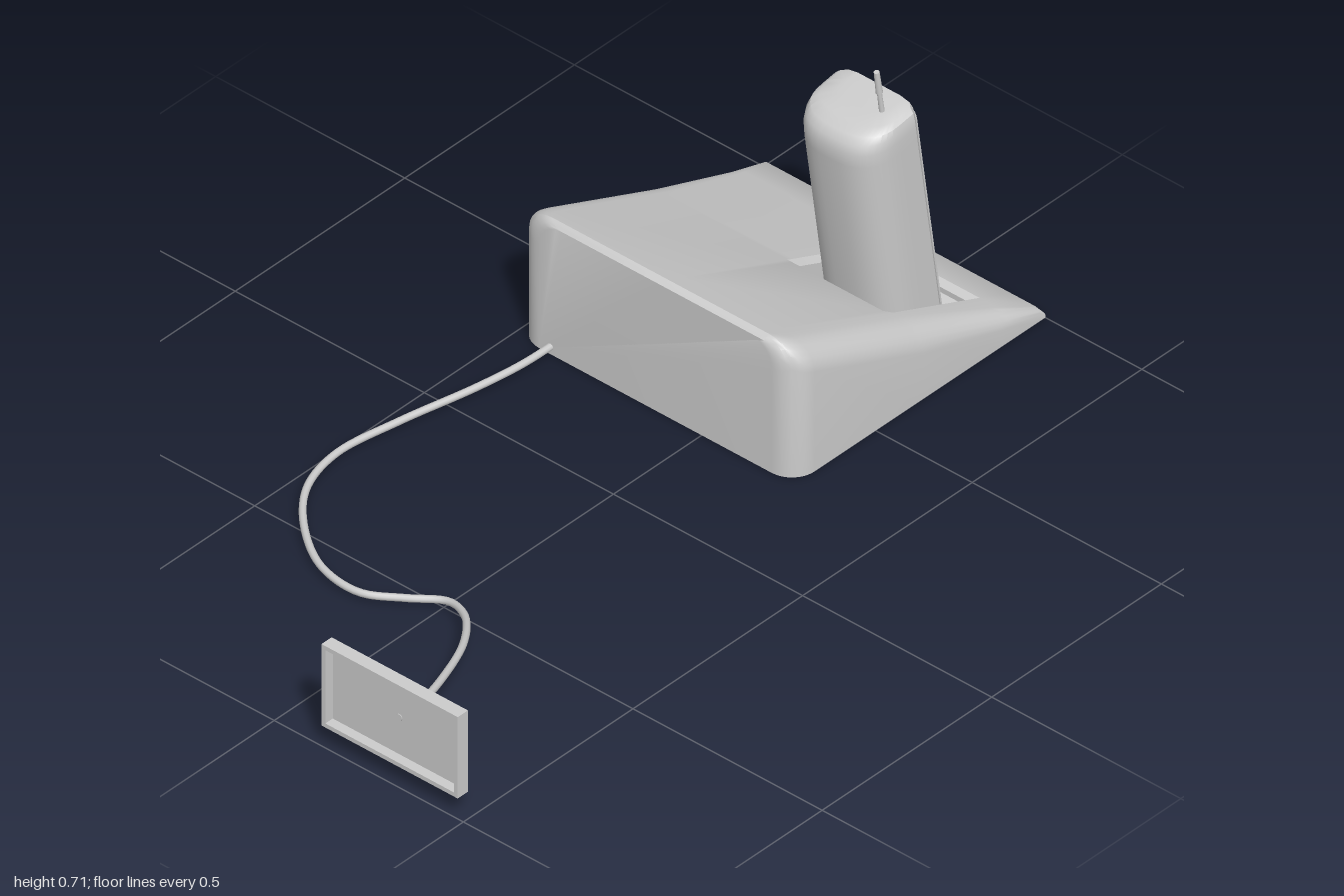
import * as THREE from 'three';
import { toCreasedNormals } from 'three/addons/utils/BufferGeometryUtils.js';

const grey = new THREE.MeshStandardMaterial({ color: 0xcccccc });

function add(parent, name, geometry, x = 0, y = 0, z = 0) {
  const mesh = new THREE.Mesh(geometry, grey);
  mesh.name = name;
  mesh.position.set(x, y, z);
  parent.add(mesh);
  return mesh;
}

// Closed skin through equal-length rings of [x, y, z], with fan caps
function loft(rings, crease = 0.6) {
  const n = rings[0].length, last = (rings.length - 1) * n, index = [];
  for (let i = 0; i < rings.length - 1; i++) {
    for (let j = 0; j < n; j++) {
      const k = (j + 1) % n, a = i * n + j, d = i * n + k, b = a + n, c = d + n;
      index.push(a, d, c, a, c, b);
    }
  }
  for (let j = 1; j < n - 1; j++) {
    index.push(0, j + 1, j, last, last + j, last + j + 1);
  }
  const g = new THREE.BufferGeometry();
  g.setAttribute('position', new THREE.Float32BufferAttribute(rings.flat(2), 3));
  g.setIndex(index);
  return toCreasedNormals(g, crease);
}

// Rounded rectangle centred on (cx, cy), radii: top left, top right, bottom right, bottom left
function roundRect(w, h, [tl, tr, br, bl], cx = 0, cy = 0, arch = 0, Type = THREE.Shape) {
  const l = cx - w / 2, r = cx + w / 2, b = cy - h / 2, t = cy + h / 2;
  const s = new Type();
  s.moveTo(l + bl, b);
  s.lineTo(r - br, b);
  s.quadraticCurveTo(r, b, r, b + br);
  s.lineTo(r, t - tr);
  s.quadraticCurveTo(r, t, r - tr, t);
  s.quadraticCurveTo(cx, t + arch * 2, l + tl, t);
  s.quadraticCurveTo(l, t, l, t - tl);
  s.lineTo(l, b + bl);
  s.quadraticCurveTo(l, b, l + bl, b);
  return s;
}

// Wedge-shaped charging base with a bevelled pocket
function baseGeometry() {
  const R = 0.06, Z0 = -0.49, Z1 = 0.245;
  const top = (x) => x > 0.985 ? 0.03 - (x - 0.985) * 1.3
    : Math.min(0.323 - (x - 0.275) * 0.413, 0.315 + (x - 0.26) * 0.55);
  const floor = (x) => 0.043 - (0.829 - x) * 0.147;
  // [x, depth level]: 0 = top surface, 1 = bevel, 2 = pocket floor
  const stations = [];
  for (let i = 0; i <= 8; i++) stations.push([0.26 + R * (1 - Math.cos(i * Math.PI / 16)), 0]);
  stations.push([0.275, 0]);
  stations.sort((a, b) => a[0] - b[0]);
  stations.push([0.625, 0], [0.64, 1], [0.64, 2], [0.875, 2], [0.875, 1], [0.895, 0], [0.985, 0], [1, 0]);
  return loft(stations.map(([x, level]) => {
    const h = top(x), r = Math.min(R, h * 0.5), t = Math.min(x - 0.26, R);
    const inset = R - Math.sqrt(R * R - (R - t) ** 2);
    const a = Z0 + inset, b = Z1 - inset;
    const bevel = level > 0 ? h - 0.013 : h;
    const deep = level > 1 ? floor(x) : bevel;
    const arc = [];
    for (let i = 0; i <= 6; i++) {
      const q = i * Math.PI / 12;
      arc.push([r * (1 - Math.cos(q)), h - r + r * Math.sin(q)]);
    }
    return [
      [x, 0, a], ...arc.map(([d, y]) => [x, y, a + d]),
      [x, h, -0.1], [x, bevel, -0.088], [x, deep, -0.088],
      [x, deep, 0.152], [x, bevel, 0.152], [x, h, 0.165],
      ...arc.reverse().map(([d, y]) => [x, y, b - d]), [x, 0, b],
    ];
  }));
}

// Handset shell: chamfered front, bulging back, domed top
function handsetGeometry() {
  const half = [[-0.006, 0.094], [-0.022, 0.108]];
  for (let i = 0; i <= 10; i++) {
    const q = i * Math.PI / 20;
    half.push([-0.07 - 0.096 * Math.sin(q) ** 0.8, 0.108 * Math.max(0, Math.cos(q)) ** 0.75]);
  }
  const ring = [
    ...half.slice(0, -1).map(([x, z]) => [x, -z]),
    ...half.slice().reverse(),
  ];
  // [height, depth scale, width scale]
  const levels = [[0, 1, 1], [0.5, 1, 1], [0.53, 0.985, 1], [0.55, 0.93, 0.985],
    [0.563, 0.84, 0.95], [0.571, 0.68, 0.86], [0.575, 0.45, 0.6]];
  return loft(levels.map(([y, sx, sz]) => ring.map(([x, z]) => [x * sx, y, z * sz])), 0.55);
}

function createHandset() {
  const phone = new THREE.Group();
  phone.name = 'handset';
  add(phone, 'handsetShell', handsetGeometry());

  // Front details, drawn in a plane facing +x
  const face = new THREE.Group();
  face.name = 'handsetFace';
  face.rotation.y = Math.PI / 2;
  phone.add(face);

  const plate = roundRect(0.184, 0.558, [0.03, 0.03, 0, 0], 0, 0.279, 0.006);
  plate.holes.push(roundRect(0.135, 0.12, [0.025, 0.025, 0.002, 0.002], 0, 0.472, 0.004, THREE.Path));
  add(face, 'facePlate', new THREE.ExtrudeGeometry(plate, { depth: 0.007, bevelEnabled: false, curveSegments: 8 }), 0, 0, -0.007);

  const key = (name, w, h, radii, x, y) => add(face, name, new THREE.ExtrudeGeometry(
    roundRect(w - 0.004, h - 0.004, radii, 0, 0), {
      depth: 0.005, bevelThickness: 0.003, bevelSize: 0.002, bevelSegments: 2, curveSegments: 5,
    }), x, y, 0);

  // Function buttons: pill ends outside, square in the middle
  const s = 0.003, p = 0.015;
  key('leftFunctionButton', 0.048, 0.037, [p, s, s, p], -0.053, 0.332);
  key('middleFunctionButton', 0.037, 0.037, [s, s, s, s], 0, 0.332);
  key('rightFunctionButton', 0.048, 0.037, [s, p, p, s], 0.053, 0.332);

  // Number keys, rounded at the outer corners of the pad
  for (let row = 0; row < 4; row++) {
    for (let col = 0; col < 3; col++) {
      const r = (rr, cc) => (row === rr && col === cc ? p : s);
      key('numberKey', 0.049, 0.047, [r(3, 0), r(3, 2), r(0, 2), r(0, 0)],
        (col - 1) * 0.053, 0.053 + row * 0.052);
    }
  }

  // Stub antenna
  add(phone, 'antennaStem', new THREE.CylinderGeometry(0.005, 0.006, 0.07, 12), -0.057, 0.595, 0.055);
  add(phone, 'antennaTip', new THREE.CylinderGeometry(0.006, 0.0075, 0.055, 12), -0.057, 0.652, 0.055);

  phone.position.set(0.829, 0.045, 0.037);
  phone.rotation.z = 0.147;
  return phone;
}

// Wall plate: thin front with a rim, open at the back
function createWallPlate() {
  const group = new THREE.Group();
  group.name = 'wallPlate';
  group.position.set(-0.985, 0.15, 0.305);
  add(group, 'plateFront', new THREE.BoxGeometry(0.008, 0.2, 0.36), 0.011);
  for (const side of [-1, 1]) {
    add(group, 'plateRim', new THREE.BoxGeometry(0.03, 0.01, 0.36), 0, side * 0.095, 0);
    add(group, 'plateRim', new THREE.BoxGeometry(0.03, 0.18, 0.01), 0, 0, side * 0.175);
  }
  return group;
}

export function createModel() {
  const model = new THREE.Group();
  model.name = 'cordlessPhone';
  add(model, 'chargingBase', baseGeometry());
  model.add(createHandset(), createWallPlate());

  // Cable from the wall plate to the base
  const path = new THREE.CatmullRomCurve3([
    [-0.982, 0.152, 0.312], [-0.9, 0.137, 0.297], [-0.78, 0.11, 0.25], [-0.63, 0.073, 0.17],
    [-0.53, 0.04, 0.08], [-0.502, 0.022, 0.01], [-0.545, 0.018, -0.06], [-0.592, 0.018, -0.14],
    [-0.58, 0.018, -0.25], [-0.5, 0.018, -0.37], [-0.4, 0.018, -0.45], [-0.28, 0.018, -0.48],
    [-0.12, 0.018, -0.458], [0.06, 0.018, -0.42], [0.18, 0.018, -0.403], [0.29, 0.018, -0.4],
  ].map((p) => new THREE.Vector3(...p)));
  add(model, 'cable', new THREE.TubeGeometry(path, 120, 0.008, 10));
  return model;
}
